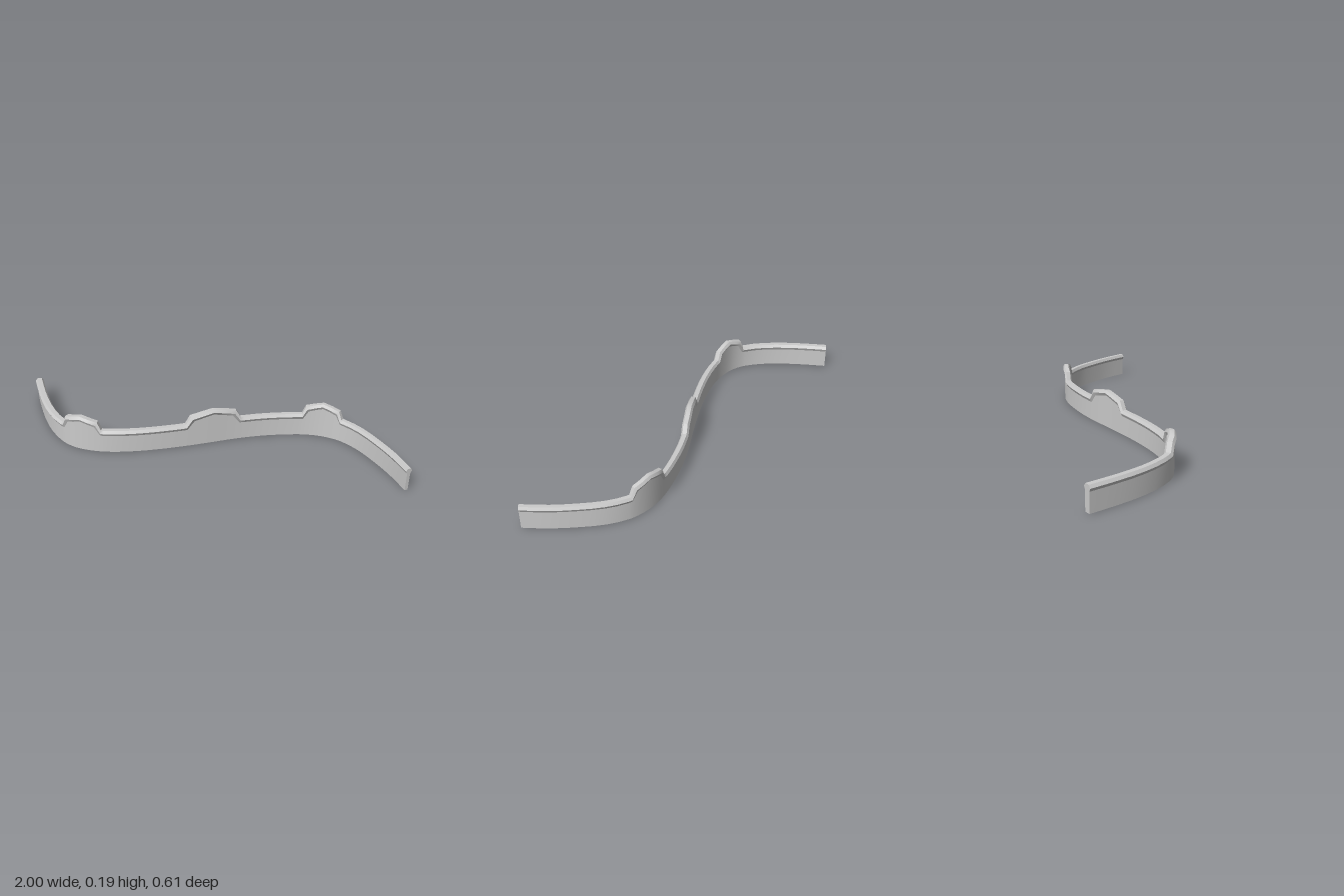
import * as THREE from 'three';
import { toCreasedNormals } from 'three/addons/utils/BufferGeometryUtils.js';

// Centre line of the wall in plan, as [x, z]
const PLAN = [
  [-0.985, -0.037], [-0.9, 0.063], [-0.8, 0.165], [-0.7, 0.24], [-0.62, 0.275], [-0.54, 0.283],
  [-0.42, 0.257], [-0.3, 0.2], [-0.2, 0.138], [-0.1, 0.067], [0, -0.01], [0.1, -0.09],
  [0.2, -0.16], [0.3, -0.217], [0.4, -0.263], [0.5, -0.287], [0.6, -0.282], [0.7, -0.242],
  [0.8, -0.175], [0.9, -0.095], [0.985, -0.011],
];
const slopeAt = i => {
  const a = PLAN[Math.max(i - 1, 0)], b = PLAN[Math.min(i + 1, PLAN.length - 1)];
  return (b[1] - a[1]) / (b[0] - a[0]);
};
function planZ(x) {
  let i = 0;
  while (i < PLAN.length - 2 && x > PLAN[i + 1][0]) i++;
  const [x0, z0] = PLAN[i], [x1, z1] = PLAN[i + 1];
  const h = x1 - x0, t = (x - x0) / h, t2 = t * t, t3 = t2 * t;
  return (2 * t3 - 3 * t2 + 1) * z0 + (t3 - 2 * t2 + t) * h * slopeAt(i)
    + (3 * t2 - 2 * t3) * z1 + (t3 - t2) * h * slopeAt(i + 1);
}

// A point at height y, pushed sideways from the centre line
function place(x, y, side) {
  const e = 0.004, d = (planZ(x + e) - planZ(x - e)) / (2 * e), l = Math.hypot(1, d);
  return [x - d / l * side, y, planZ(x) + side / l];
}

// Stations along the wall: outer (top) and inner (underside) edge of the coping
const HUMPS = [[-0.54, 0.1, 0.083], [0.02, 0.11, 0.09], [0.497, 0.1, 0.083]];
function stations() {
  const list = [];
  const add = (xo, yo, xi, yi) => list.push({ xo, yo, xi, yi });
  const level = (a, b) => {
    const n = Math.max(2, Math.round((b - a) / 0.045));
    for (let i = 0; i <= n; i++) {
      const x = a + (b - a) * i / n;
      add(x, 0.12, x, 0.092);
    }
  };
  let start = -0.985;
  for (const [c, foot, shoulder] of HUMPS) {
    level(start, c - foot - 0.012);
    add(c - foot, 0.121, c - foot + 0.006, 0.093);
    add(c - shoulder, 0.163, c - shoulder + 0.014, 0.137);
    add(c - shoulder / 2, 0.175, c - shoulder / 2 + 0.007, 0.149);
    add(c, 0.186, c, 0.16);
    add(c + shoulder / 2, 0.175, c + shoulder / 2 - 0.007, 0.149);
    add(c + shoulder, 0.163, c + shoulder - 0.014, 0.137);
    add(c + foot, 0.121, c + foot - 0.006, 0.093);
    start = c + foot + 0.012;
  }
  level(start, 0.985);
  return list;
}

// Joins equal cross-sections into a closed solid
function loft(sections, crease) {
  const n = sections[0].length, index = [];
  sections.slice(1).forEach((_, s) => {
    for (let i = 0; i < n; i++) {
      const a = s * n + i, b = s * n + (i + 1) % n;
      index.push(a, a + n, b + n, a, b + n, b);
    }
  });
  const last = (sections.length - 1) * n;
  for (let i = 1; i < n - 1; i++) {
    index.push(0, i, i + 1, last, last + i + 1, last + i);
  }
  const g = new THREE.BufferGeometry();
  g.setAttribute('position', new THREE.Float32BufferAttribute(sections.flat(2), 3));
  g.setIndex(index);
  return toCreasedNormals(g, crease);
}

export function createModel() {
  const group = new THREE.Group();
  group.name = 'curvedWall';
  const material = new THREE.MeshStandardMaterial({ color: 0xcccccc });
  const line = stations();
  // Both parts get slightly thinner toward +x
  const taper = (a, b, x) => a + (b - a) * (x + 1) / 2;
  const wallHalf = x => taper(0.014, 0.008, x);
  const copingHalf = x => taper(0.021, 0.016, x);

  // Upright wall
  const wallSections = line.map(({ xi, yi }) => {
    const w = wallHalf(xi);
    return [place(xi, 0, w), place(xi, yi, w), place(xi, yi, -w), place(xi, 0, -w)];
  });
  // Bevelled coping that follows the humps
  const copingSections = line.map(({ xo, yo, xi, yi }) => {
    const xm = (xo + xi) / 2, ym = yi + (yo - yi) * 0.52;
    const w = wallHalf(xi), c = copingHalf(xm), t = copingHalf(xo) * 0.55;
    return [
      place(xi, yi, w), place(xm, ym, c), place(xo, yo, t),
      place(xo, yo, -t), place(xm, ym, -c), place(xi, yi, -w),
    ];
  });
  for (const [name, sections, crease] of [['wall', wallSections, 0.6], ['coping', copingSections, 0.7]]) {
    const mesh = new THREE.Mesh(loft(sections, crease), material);
    mesh.name = name;
    group.add(mesh);
  }
  return group;
}
